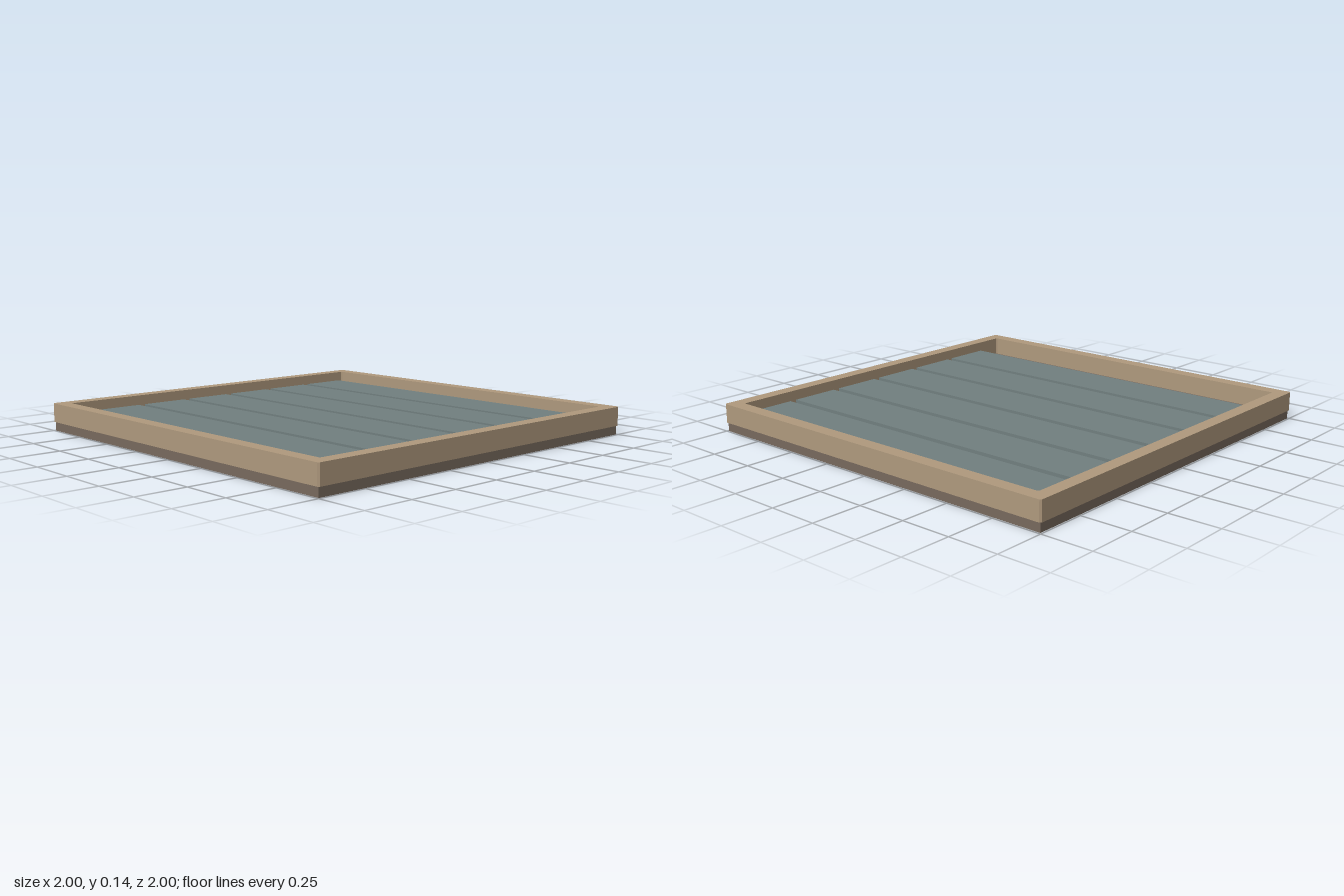
import * as THREE from 'three';

const material = (color) => new THREE.MeshStandardMaterial({ color, flatShading: true });

// Square outline with small chamfered corners
function chamferedSquare(Target, half, cut) {
  const inner = half - cut;
  const points = [
    [inner, -half], [half, -inner], [half, inner], [inner, half],
    [-inner, half], [-half, inner], [-half, -inner], [-inner, -half],
  ].map(([x, y]) => new THREE.Vector2(x, y));
  return new Target(points);
}

export function createModel() {
  const group = new THREE.Group();
  const wood = material(0xb09a7e);
  const darkWood = material(0x786a5e);
  const slate = material(0x728080);

  const add = (name, geometry, mat, x, y, z) => {
    const mesh = new THREE.Mesh(geometry, mat);
    mesh.name = name;
    mesh.position.set(x, y, z);
    group.add(mesh);
  };

  // Base board, slightly inset below the frame
  const baseHeight = 0.045;
  add('baseBoard', new THREE.BoxGeometry(1.985, baseHeight, 1.985), darkWood, 0, baseHeight / 2, 0);

  // Raised border frame with a square opening
  const outline = chamferedSquare(THREE.Shape, 1, 0.008);
  outline.holes.push(chamferedSquare(THREE.Path, 0.932, 0.005));
  const frame = new THREE.ExtrudeGeometry(outline, { depth: 0.095, bevelEnabled: false });
  frame.rotateX(-Math.PI / 2);
  add('frame', frame, wood, 0, baseHeight, 0);

  // Six wide slats, leaving a broader gap at the front
  const slatHeight = 0.045;
  const slat = new THREE.BoxGeometry(1.864, slatHeight, 0.252);
  for (let i = 0; i < 6; i++) {
    add(`slat${i + 1}`, slat, slate, 0, baseHeight + slatHeight / 2, -0.779 + i * 0.288);
  }
  return group;
}
